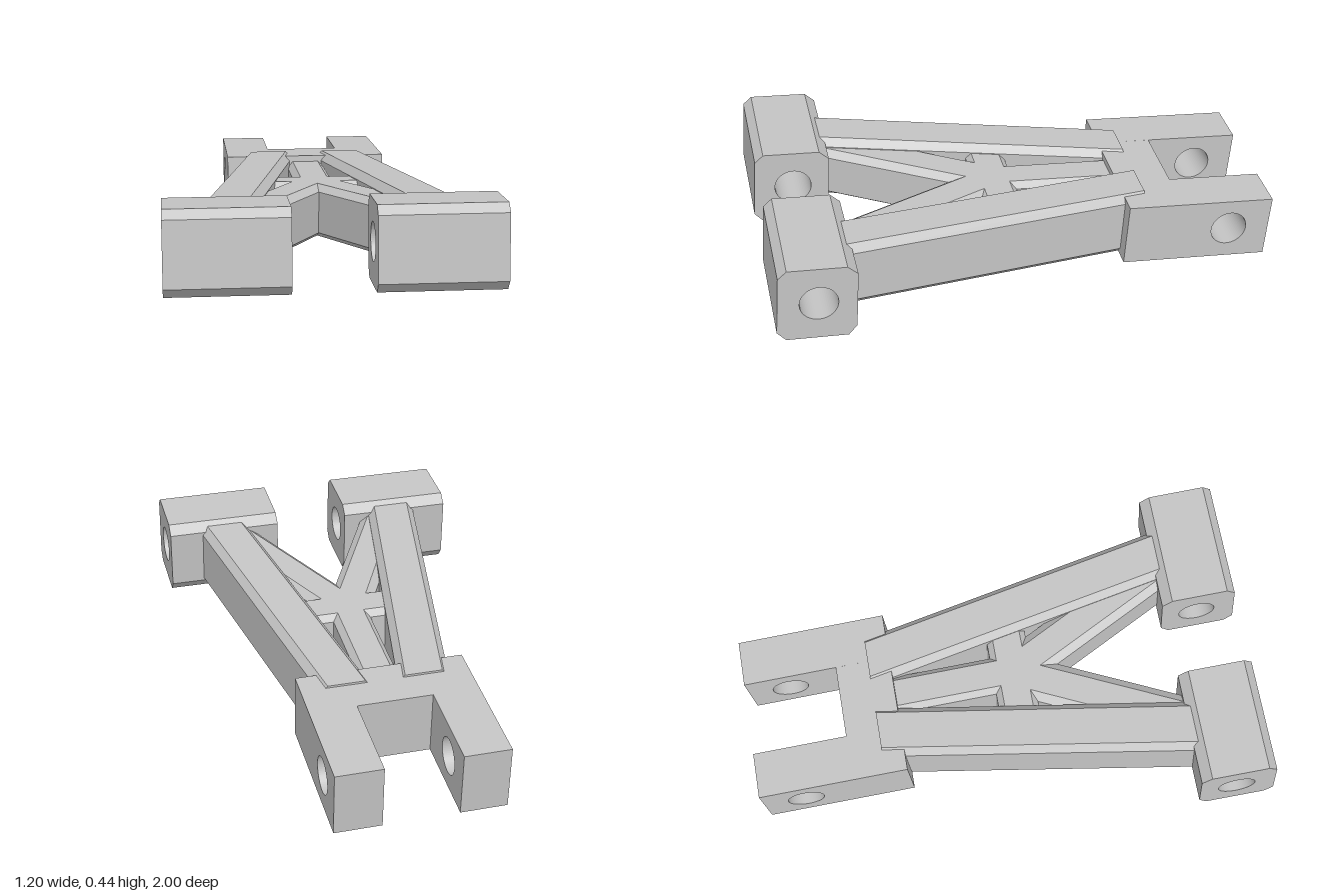
import * as THREE from 'three';

const TILT = 0.082; // rise of the arm per unit of z

export function createModel() {
  const group = new THREE.Group();
  group.name = 'suspensionArm';
  const grey = new THREE.MeshStandardMaterial({ color: 0xc4c4c4 });
  grey.name = 'grey plastic';

  function add(name, geometry) {
    const mesh = new THREE.Mesh(geometry, grey);
    mesh.name = name;
    group.add(mesh);
  }

  // Side profile of [z, y] points pushed along x, with an optional pin hole
  function sideBlock(name, points, x0, x1, hole) {
    const shape = new THREE.Shape(points.map(([z, y]) => new THREE.Vector2(-z, y)));
    if (hole) {
      // Wound against the clockwise profile so the bore faces inward
      const pin = new THREE.Path();
      pin.absarc(-hole[0], hole[1], 0.072, 0, Math.PI * 2, false);
      shape.holes.push(pin);
    }
    const geo = new THREE.ExtrudeGeometry(shape, { depth: x1 - x0, bevelEnabled: false, curveSegments: 32 });
    geo.rotateY(Math.PI / 2).translate(x0, 0, 0);
    add(name, geo);
  }

  // Bar along z with chamfered edges: top half width a, full half width b
  function bar(a, b, y0, y1, chamfer, z0, z1) {
    const outline = [
      [-a, y0], [a, y0], [b, y0 + chamfer], [b, y1 - chamfer],
      [a, y1], [-a, y1], [-b, y1 - chamfer], [-b, y0 + chamfer],
    ];
    const shape = new THREE.Shape(outline.map(([x, y]) => new THREE.Vector2(x, y)));
    return new THREE.ExtrudeGeometry(shape, { depth: z1 - z0, bevelEnabled: false }).translate(0, 0, z0);
  }

  // Slant a bar sideways (x = offset + slope * z) and tilt it with the arm
  function slant(geo, offset = 0, slope = 0) {
    return geo.applyMatrix4(new THREE.Matrix4().set(
      1, 0, slope, offset,
      0, 1, TILT, 0,
      0, 0, 1, 0,
      0, 0, 0, 1));
  }

  // Front pivot bosses
  const boss = [
    [0.945, 0.44], [0.725, 0.424], [0.688, 0.388], [0.704, 0.152],
    [0.737, 0.114], [0.968, 0.13], [1, 0.168], [0.979, 0.41],
  ];
  sideBlock('leftFrontBoss', boss, 0.14, 0.602, [0.838, 0.278]);
  sideBlock('rightFrontBoss', boss, -0.603, -0.157, [0.838, 0.278]);

  // Rear fork: two drilled prongs joined by a bridge
  const prong = [[-0.413, 0.306], [-1, 0.258], [-0.98, 0], [-0.396, 0.048]];
  const bridge = [[-0.413, 0.306], [-0.629, 0.288], [-0.609, 0.031], [-0.396, 0.048]];
  sideBlock('leftProng', prong, 0.145, 0.327, [-0.825, 0.145]);
  sideBlock('rightProng', prong, -0.328, -0.147, [-0.825, 0.145]);
  sideBlock('forkBridge', bridge, -0.147, 0.145);

  // Main beams and diagonal braces, mirrored
  for (const [side, s] of [['left', 1], ['right', -1]]) {
    add(side + 'Beam', slant(bar(0.073, 0.1, 0.076, 0.348, 0.03, -0.5, 0.73), s * 0.24, s * 0.18));
    add(side + 'Brace', slant(bar(0.06, 0.095, 0.104, 0.315, 0.024, 0.06, 0.72), s * -0.025, s * 0.5));
  }

  // Centre rib and cross bar
  add('centreRib', slant(bar(0.053, 0.076, 0.104, 0.315, 0.024, -0.45, 0.08)));
  const cross = bar(0.055, 0.078, 0.104, 0.315, 0.024, -0.2, 0.2);
  add('crossBar', slant(cross.rotateY(Math.PI / 2).translate(0, 0, 0.059)));

  return group;
}
